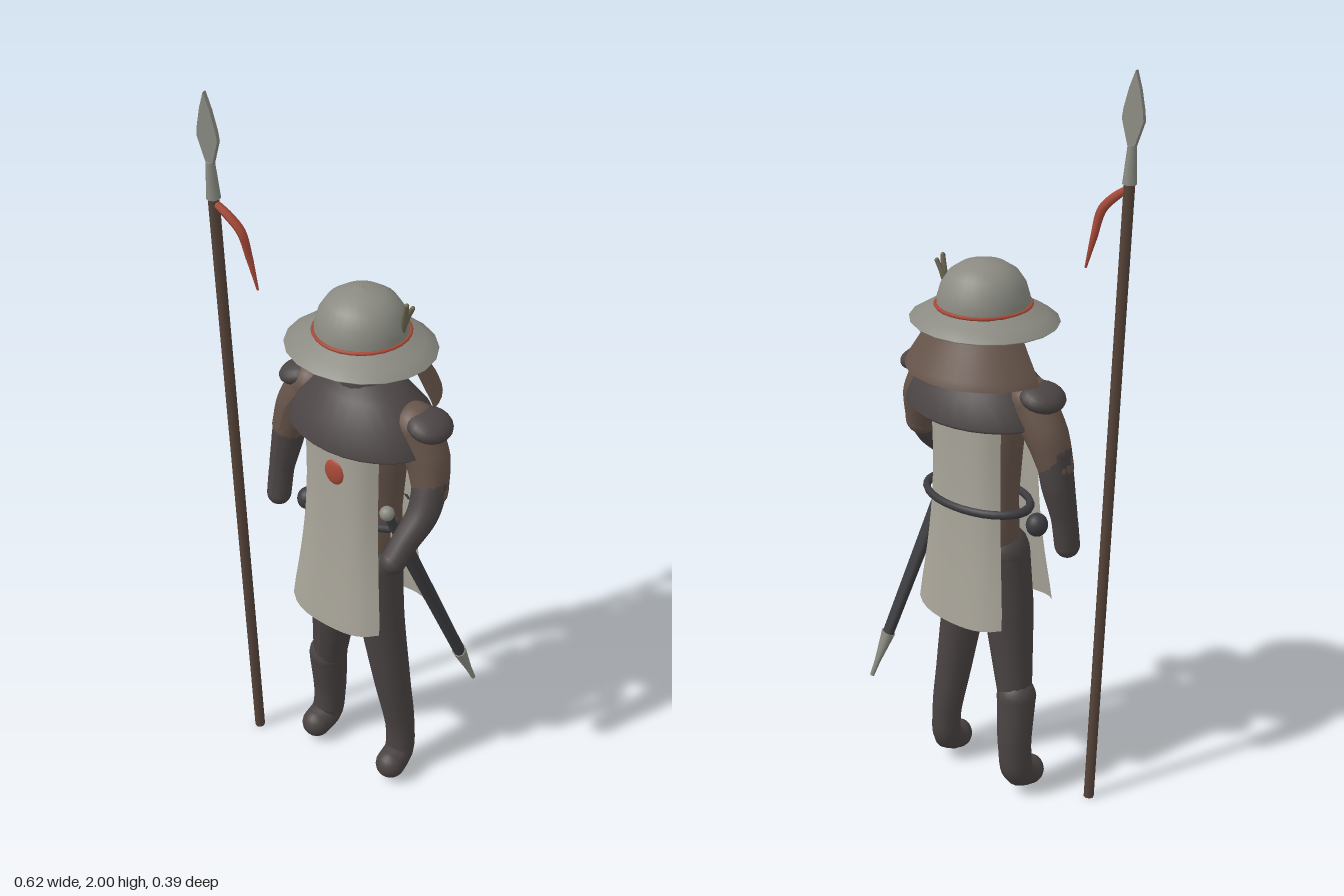
import * as THREE from 'three';

const V = (x, y, z) => new THREE.Vector3(x, y, z);
const CX = 0.035; // body axis

export function createModel() {
  const root = new THREE.Group();
  root.name = 'spearman';
  const mat = (name, color, double) => {
    const m = new THREE.MeshStandardMaterial({ color });
    m.name = name;
    if (double) m.side = THREE.DoubleSide;
    return m;
  };
  const M = {
    steel: mat('steel', 0x8a8a82, true),
    linen: mat('linen', 0xa8a499, true),
    dark: mat('darkCloth', 0x4a4343),
    cape: mat('capeCloth', 0x4c4545, true),
    leather: mat('brownLeather', 0x66544a, true),
    red: mat('redCloth', 0xa84a38, true),
    mask: mat('maskCloth', 0x7a3228),
    wood: mat('wood', 0x554339),
    black: mat('blackLeather', 0x3c3c40),
    straw: mat('straw', 0x6c6650, true),
  };
  const add = (name, geo, material, pos = [0, 0, 0], scale = [1, 1, 1], parent = root) => {
    const m = new THREE.Mesh(geo, material);
    m.name = name;
    m.position.set(...pos);
    m.scale.set(...scale);
    parent.add(m);
    return m;
  };
  const lathe = (pts, seg = 24, start = 0, len = Math.PI * 2) =>
    new THREE.LatheGeometry(pts.map(p => new THREE.Vector2(...p)), seg, start, len);
  const ball = (name, r, material, pos, scale) =>
    add(name, new THREE.SphereGeometry(r, 18, 12), material, pos, scale);

  // Tapered tube through [x, y, z, radius] points with round ends
  const limb = (name, pts, material, sides = 14, caps = true) => {
    const curve = new THREE.CatmullRomCurve3(pts.map(p => V(p[0], p[1], p[2])));
    const n = pts.length * 5;
    const geo = new THREE.TubeGeometry(curve, n, 1, sides);
    const pos = geo.attributes.position, v = V(0, 0, 0);
    for (let i = 0; i <= n; i++) {
      const t = curve.getUtoTmapping(i / n) * (pts.length - 1);
      const k = Math.min(Math.floor(t), pts.length - 2);
      const r = THREE.MathUtils.lerp(pts[k][3], pts[k + 1][3], t - k);
      const c = curve.getPointAt(i / n);
      for (let j = 0; j <= sides; j++) {
        const id = i * (sides + 1) + j;
        v.fromBufferAttribute(pos, id).sub(c).multiplyScalar(r).add(c);
        pos.setXYZ(id, v.x, v.y, v.z);
      }
    }
    geo.computeVertexNormals();
    add(name, geo, material);
    if (caps) [pts[0], pts[pts.length - 1]].forEach(p =>
      ball(name + 'End', p[3], material, [p[0], p[1], p[2]]));
  };
  // Group whose local y runs from point a towards point b
  const along = (name, a, b) => {
    const g = new THREE.Group();
    g.name = name;
    g.position.copy(a);
    g.quaternion.setFromUnitVectors(V(0, 1, 0), b.clone().sub(a).normalize());
    root.add(g);
    return g;
  };

  // Torso and hips
  add('torso', lathe([[0, 0.68], [0.08, 0.7], [0.115, 0.77], [0.112, 0.88], [0.122, 1.0],
    [0.135, 1.12], [0.12, 1.2], [0.05, 1.26], [0, 1.27]]), M.leather, [CX, 0, -0.005], [1, 1, 0.68]);
  ball('hips', 0.115, M.dark, [CX - 0.003, 0.71, 0.005], [1.02, 0.95, 0.75]);
  ball('neck', 0.07, M.dark, [CX, 1.26, 0], [1, 1, 1]);

  // Legs, boots bending forward at the toes
  limb('rightLeg', [[-0.025, 0.72, 0.012, 0.072], [-0.045, 0.55, 0.012, 0.068],
    [-0.078, 0.32, 0.0, 0.048]], M.dark);
  limb('rightBoot', [[-0.088, 0.3, -0.003, 0.054], [-0.096, 0.15, -0.018, 0.046],
    [-0.1, 0.07, -0.008, 0.044], [-0.102, 0.052, 0.035, 0.042]], M.dark);
  limb('leftLeg', [[0.09, 0.72, 0.012, 0.072], [0.11, 0.55, 0.012, 0.062], [0.14, 0.32, -0.002, 0.05],
    [0.158, 0.15, -0.018, 0.04], [0.163, 0.07, -0.008, 0.041], [0.167, 0.052, 0.035, 0.042]], M.dark);

  // Arms
  limb('rightUpperArm', [[-0.13, 1.18, -0.005, 0.062], [-0.185, 1.1, -0.005, 0.056],
    [-0.212, 1.02, 0.0, 0.046]], M.leather);
  limb('rightForearm', [[-0.206, 1.06, -0.003, 0.046], [-0.22, 0.97, 0.0, 0.043],
    [-0.232, 0.88, 0.012, 0.034], [-0.235, 0.8, 0.022, 0.033]], M.dark);
  limb('leftUpperArm', [[0.195, 1.18, -0.005, 0.062], [0.235, 1.1, -0.005, 0.058],
    [0.257, 1.02, 0.008, 0.046]], M.leather);
  limb('leftForearm', [[0.255, 1.04, 0.005, 0.046], [0.262, 0.97, 0.045, 0.041],
    [0.25, 0.91, 0.1, 0.035], [0.242, 0.865, 0.138, 0.033]], M.dark);
  for (const s of [-1, 1]) {
    const pad = ball('shoulderPad', 0.058, M.cape, [CX + s * 0.205, 1.2, -0.005], [1, 0.55, 1.1]);
    pad.rotation.z = -s * 0.3;
  }

  // Tabard panels: flared, bowed around the body
  const panel = (name, side, top, bottom, bow) => {
    const geo = new THREE.PlaneGeometry(2, 1, 12, 12);
    const p = geo.attributes.position;
    for (let i = 0; i < p.count; i++) {
      const s = p.getX(i), t = 0.5 - p.getY(i);
      const w = 0.122 + 0.025 * t * t - 0.008 * Math.sin(Math.PI * Math.min(1, t * 1.1));
      const y = THREE.MathUtils.lerp(top, bottom + 0.02 * s * s, t);
      const z = 0.112 - 0.012 * Math.sin(Math.PI * t) + 0.026 * t - bow * s ** 4;
      p.setXYZ(i, CX - 0.008 + w * s, y, side > 0 ? z : -(z - 0.008));
    }
    geo.computeVertexNormals();
    add(name, geo, M.linen);
  };
  panel('frontTabard', 1, 1.16, 0.545, 0.035);
  panel('backTabard', -1, 1.16, 0.535, 0.03);
  ball('chestBadge', 0.031, M.red, [0.03, 1.03, 0.108], [1, 1.2, 0.35]);

  // Belt and pouch
  const belt = add('belt', new THREE.TorusGeometry(0.155, 0.012, 8, 32), M.black,
    [CX, 0.873, -0.018], [1.03, 0.63, 1]);
  belt.rotation.x = Math.PI / 2;
  ball('pouch', 0.03, M.black, [-0.135, 0.825, 0.02], [0.95, 1.05, 1]);

  // Shoulder cape
  add('shoulderCape', lathe([[0.205, 1.115], [0.217, 1.125], [0.185, 1.19], [0.13, 1.245],
    [0.085, 1.275], [0.06, 1.275]], 28), M.cape, [CX + 0.003, 0, -0.005], [1, 1, 0.74]);

  // Head, mask and eyes
  ball('head', 0.1, M.leather, [0.03, 1.365, 0]);
  add('faceMask', new THREE.SphereGeometry(0.106, 24, 10, 0, Math.PI * 2, Math.PI * 0.57, Math.PI * 0.43),
    M.mask, [0.03, 1.365, 0.002]);
  for (const s of [-1, 1]) ball('eye', 0.014, M.straw, [0.03 + s * 0.035, 1.348, 0.093], [1.2, 0.55, 0.5]);

  // Kettle helmet with band, neck guard and sprig
  add('helmetDome', lathe([[0.12, 1.385], [0.118, 1.415], [0.108, 1.45], [0.088, 1.48],
    [0.058, 1.5], [0.025, 1.508], [0.001, 1.512]], 28), M.steel, [0.03, 0, 0]);
  add('helmetBrim', lathe([[0.118, 1.385], [0.193, 1.352], [0.198, 1.357], [0.165, 1.377],
    [0.119, 1.4]], 20), M.steel, [0.03, 0, 0.003], [1, 1, 0.92]);
  const band = add('helmetBand', new THREE.TorusGeometry(0.121, 0.005, 6, 28), M.red, [0.03, 1.398, 0]);
  band.rotation.x = Math.PI / 2;
  add('neckGuard', lathe([[0.208, 1.235], [0.2, 1.255], [0.165, 1.31], [0.13, 1.37]], 18,
    Math.PI * 0.54, Math.PI * 0.92), M.leather, [0.03, 0, 0], [1, 1, 0.92]);
  for (const s of [0, 1]) limb('sprig', [[0.135, 1.4, -0.02, 0.006], [0.144, 1.45, -0.02 - s * 0.004, 0.009],
    [0.155 + s * 0.006, 1.5 - s * 0.012, -0.014 - s * 0.016, 0.006]], M.straw, 6);

  // Sheathed sword, hung from the left hip and slanting back
  const sword = along('sword', V(0.2, 0.87, 0.055), V(0.283, 0.33, -0.163));
  const cyl = (name, r1, r2, y0, y1, m, g, sides = 10, flat = 1) =>
    add(name, new THREE.CylinderGeometry(r2, r1, y1 - y0, sides), m, [0, (y0 + y1) / 2, 0], [1, 1, flat], g);
  cyl('scabbard', 0.03, 0.023, 0, 0.5, M.black, sword, 10, 0.7);
  cyl('scabbardTip', 0.026, 0.012, 0.495, 0.58, M.steel, sword, 10, 0.75);
  cyl('scabbardPoint', 0.009, 0.006, 0.575, 0.63, M.steel, sword, 6);
  cyl('scabbardMouth', 0.031, 0.031, -0.012, 0.015, M.steel, sword, 10, 0.7);
  add('guard', new THREE.BoxGeometry(0.12, 0.02, 0.022), M.black, [0.015, -0.018, 0], [1, 1, 1], sword);
  cyl('grip', 0.012, 0.013, -0.09, -0.02, M.black, sword, 8);
  add('pommel', new THREE.SphereGeometry(0.02, 10, 8), M.steel, [0, -0.1, 0], [1, 1, 1], sword);

  // Spear leaning slightly forward
  const spear = along('spear', V(-0.262, 0, 0.103), V(-0.282, 2, 0.19));
  cyl('shaft', 0.014, 0.014, 0, 1.75, M.wood, spear, 8);
  cyl('socket', 0.018, 0.011, 1.725, 1.82, M.steel, spear, 8);
  const leaf = new THREE.Shape();
  leaf.moveTo(0, 1.998);
  [[0.016, 1.955], [0.029, 1.905], [0.032, 1.88], [0.02, 1.845], [0.008, 1.81]].forEach(p => leaf.lineTo(...p));
  [[-0.008, 1.81], [-0.02, 1.845], [-0.032, 1.88], [-0.029, 1.905], [-0.016, 1.955]].forEach(p => leaf.lineTo(...p));
  add('blade', new THREE.ExtrudeGeometry(leaf, { depth: 0.01, bevelEnabled: false }), M.steel,
    [0, 0, -0.005], [1, 1, 1], spear);
  limb('ribbon', [[-0.275, 1.712, 0.178, 0.01], [-0.24, 1.685, 0.17, 0.012], [-0.21, 1.65, 0.162, 0.012],
    [-0.195, 1.58, 0.152, 0.009], [-0.175, 1.5, 0.148, 0.003]], M.red, 6);

  return root;
}
